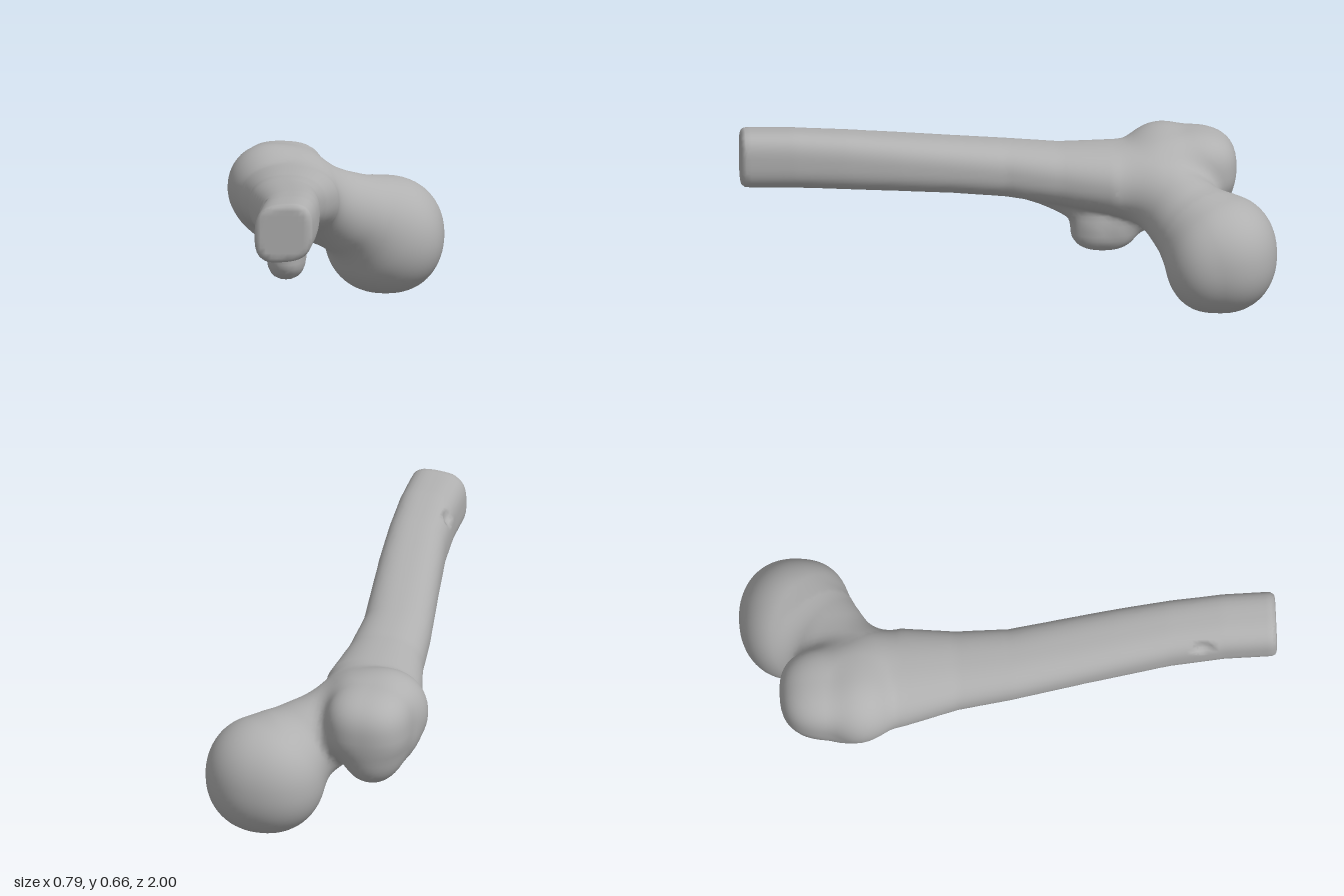
import * as THREE from 'three';

// Smooth union and smooth intersection of two distances
const smin = (a, b, k) => {
  const h = Math.max(k - Math.abs(a - b), 0) / k;
  return Math.min(a, b) - h * h * k / 4;
};
const smax = (a, b, k) => -smin(-a, -b, k);

// Ellipsoid: centre c, radii r; exponents above 2 make it boxier
const ellipsoid = (c, r, e = 2) => (p) => {
  const q = p.map((v, i) => Math.abs(v - c[i]) / r[i]);
  const k0 = q.reduce((s, v) => s + v ** e, 0) ** (1 / e);
  if (k0 < 1e-3) return -Math.min(...r);
  const slope = Math.hypot(...q.map((v, i) => (v / k0) ** (e - 1) / r[i]));
  return (k0 - 1) / slope;
};

// Tapered capsule: from a (radius ra) to b (radius rb)
const capsule = (a, ra, b, rb) => {
  const d = b.map((v, i) => v - a[i]);
  const len2 = d.reduce((s, v) => s + v * v, 0);
  return (p) => {
    const dot = d.reduce((s, v, i) => s + v * (p[i] - a[i]), 0);
    const t = THREE.MathUtils.clamp(dot / len2, 0, 1);
    return Math.hypot(...p.map((v, i) => v - a[i] - t * d[i])) - ra - t * (rb - ra);
  };
};

// Shaft cross-sections every 0.2 along z: centre x, centre y, half width, half height
const SECTIONS = [
  [-0.2, 0.405, 0.175, 0.145],
  [-0.153, 0.417, 0.184, 0.133],
  [-0.145, 0.44, 0.146, 0.112],
  [-0.14, 0.468, 0.13, 0.104],
  [-0.115, 0.493, 0.125, 0.103],
  [-0.09, 0.515, 0.12, 0.106],
  [-0.068, 0.535, 0.113, 0.109],
  [-0.056, 0.55, 0.11, 0.11],
  [-0.055, 0.554, 0.109, 0.11],
];
const pit = ellipsoid([-0.168, 0.605, 0.72], [0.026, 0.026, 0.038]);

function shaft(p) {
  const s = THREE.MathUtils.clamp((p[2] + 0.6) / 0.2, 0, 7.999);
  const i = Math.floor(s);
  const [cx, cy, rx, ry] = SECTIONS[i].map((v, j) => v + (SECTIONS[i + 1][j] - v) * (s - i));
  // Round near the hip, squarer and slightly skewed towards the cut end
  const e = 2.1 + 0.11 * s;
  const dx = p[0] - cx, dy = p[1] - cy - 0.012 * s * dx;
  let f = (((Math.abs(dx) / rx) ** e + (Math.abs(dy) / ry) ** e) ** (1 / e) - 1) * Math.min(rx, ry);
  f = smax(f, p[2] - 0.998, 0.025);
  f = smax(f, -0.62 - p[2], 0.1);
  return smax(f, -pit(p), 0.02);
}

// Bone parts: name, distance function, blend width into the parts before it
const PARTS = [
  ['shaft', shaft, 0],
  ['neck', capsule([-0.1, 0.395, -0.57], 0.132, [0.1, 0.29, -0.71], 0.168), 0.1],
  ['greaterTrochanter', ellipsoid([-0.21, 0.437, -0.668], [0.165, 0.147, 0.197], 2.6), 0.06],
  ['lateralBulge', ellipsoid([-0.25, 0.44, -0.575], [0.143, 0.144, 0.125]), 0.05],
  ['trochantericCorner', capsule([-0.225, 0.325, -0.74], 0.1, [-0.26, 0.345, -0.64], 0.1), 0.05],
  ['trochantericCrest', capsule([-0.235, 0.32, -0.72], 0.095, [-0.175, 0.25, -0.42], 0.07), 0.04],
  ['lesserTrochanter', ellipsoid([-0.162, 0.21, -0.365], [0.072, 0.081, 0.122], 2.3), 0.04],
  ['posteriorRidge', capsule([-0.16, 0.275, -0.32], 0.055, [-0.15, 0.375, -0.1], 0.03), 0.05],
  ['head', ellipsoid([0.167, 0.222, -0.791], [0.224, 0.221, 0.208], 2.15), 0.04],
  ['headRim', ellipsoid([0.215, 0.205, -0.722], [0.165, 0.178, 0.135]), 0.03],
];
const field = (p) => PARTS.reduce((d, [, f, k]) => (k ? smin(d, f(p), k) : f(p)), 0);

function gradient(p) {
  const e = 0.003;
  return [0, 1, 2].map((a) => {
    const hi = [...p], lo = [...p];
    hi[a] += e;
    lo[a] -= e;
    return (field(hi) - field(lo)) / (2 * e);
  });
}

// Skin the blended field on a regular grid; returns vertices, normals and one face list per part
function skin() {
  const step = 0.02, min = [-0.47, -0.07, -1.07], n = [48, 42, 108];
  const stride = [1, n[0], n[0] * n[1]];
  const at = (x, y, z) => [min[0] + x * step, min[1] + y * step, min[2] + z * step];
  const values = new Float32Array(n[0] * n[1] * n[2]);
  const each = (lo, fn) => {
    for (let z = lo; z < n[2] - 1; z++)
      for (let y = lo; y < n[1] - 1; y++)
        for (let x = lo; x < n[0] - 1; x++) fn(x, y, z, x + y * stride[1] + z * stride[2]);
  };
  values.fill(1);
  each(0, (x, y, z, id) => { values[id] = field(at(x, y, z)); });

  // One vertex in every cell the surface crosses, pulled onto the surface
  const positions = [], normals = [], vertexOf = new Map();
  each(0, (x, y, z, id) => {
    const sum = [0, 0, 0];
    let count = 0;
    for (let c = 0; c < 8; c++) {
      const corner = [c & 1, (c >> 1) & 1, (c >> 2) & 1];
      const from = id + corner[0] + corner[1] * stride[1] + corner[2] * stride[2];
      for (let a = 0; a < 3; a++) {
        if (corner[a]) continue;
        const v0 = values[from], v1 = values[from + stride[a]];
        if ((v0 < 0) === (v1 < 0)) continue;
        corner.forEach((v, i) => { sum[i] += v + (i === a ? v0 / (v0 - v1) : 0); });
        count++;
      }
    }
    if (!count) return;
    let p = at(x + sum[0] / count, y + sum[1] / count, z + sum[2] / count);
    const g = gradient(p);
    const g2 = Math.max(g[0] ** 2 + g[1] ** 2 + g[2] ** 2, 0.1);
    const move = THREE.MathUtils.clamp(field(p) / g2, -0.008, 0.008);
    p = p.map((v, i) => v - g[i] * move);
    vertexOf.set(id, positions.length / 3);
    positions.push(...p);
    normals.push(...new THREE.Vector3(...gradient(p)).normalize().toArray());
  });

  // One quad around every grid edge the surface crosses, given to the nearest part
  const faces = PARTS.map(() => []);
  each(1, (x, y, z, id) => {
    for (let a = 0; a < 3; a++) {
      const inside = values[id] < 0;
      if (inside === (values[id + stride[a]] < 0)) continue;
      const b = stride[(a + 1) % 3], c = stride[(a + 2) % 3];
      const quad = [id - b - c, id - c, id, id - b].map((k) => vertexOf.get(k));
      if (!inside) quad.reverse();
      const p = positions.slice(quad[0] * 3, quad[0] * 3 + 3);
      const d = PARTS.map(([, f]) => f(p));
      const [q0, q1, q2, q3] = quad;
      faces[d.indexOf(Math.min(...d))].push(q0, q1, q2, q0, q2, q3);
    }
  });
  return { positions, normals, faces };
}

export function createModel() {
  const bone = new THREE.MeshStandardMaterial({ color: 0xb0b0b0 });
  bone.name = 'boneGrey';
  const group = new THREE.Group();
  group.name = 'thighBone';
  const { positions, normals, faces } = skin();
  PARTS.forEach(([name], i) => {
    const shared = new THREE.BufferGeometry();
    shared.setAttribute('position', new THREE.Float32BufferAttribute(positions, 3));
    shared.setAttribute('normal', new THREE.Float32BufferAttribute(normals, 3));
    shared.setIndex(faces[i]);
    const mesh = new THREE.Mesh(shared.toNonIndexed(), bone);
    mesh.name = name;
    group.add(mesh);
  });
  return group;
}
